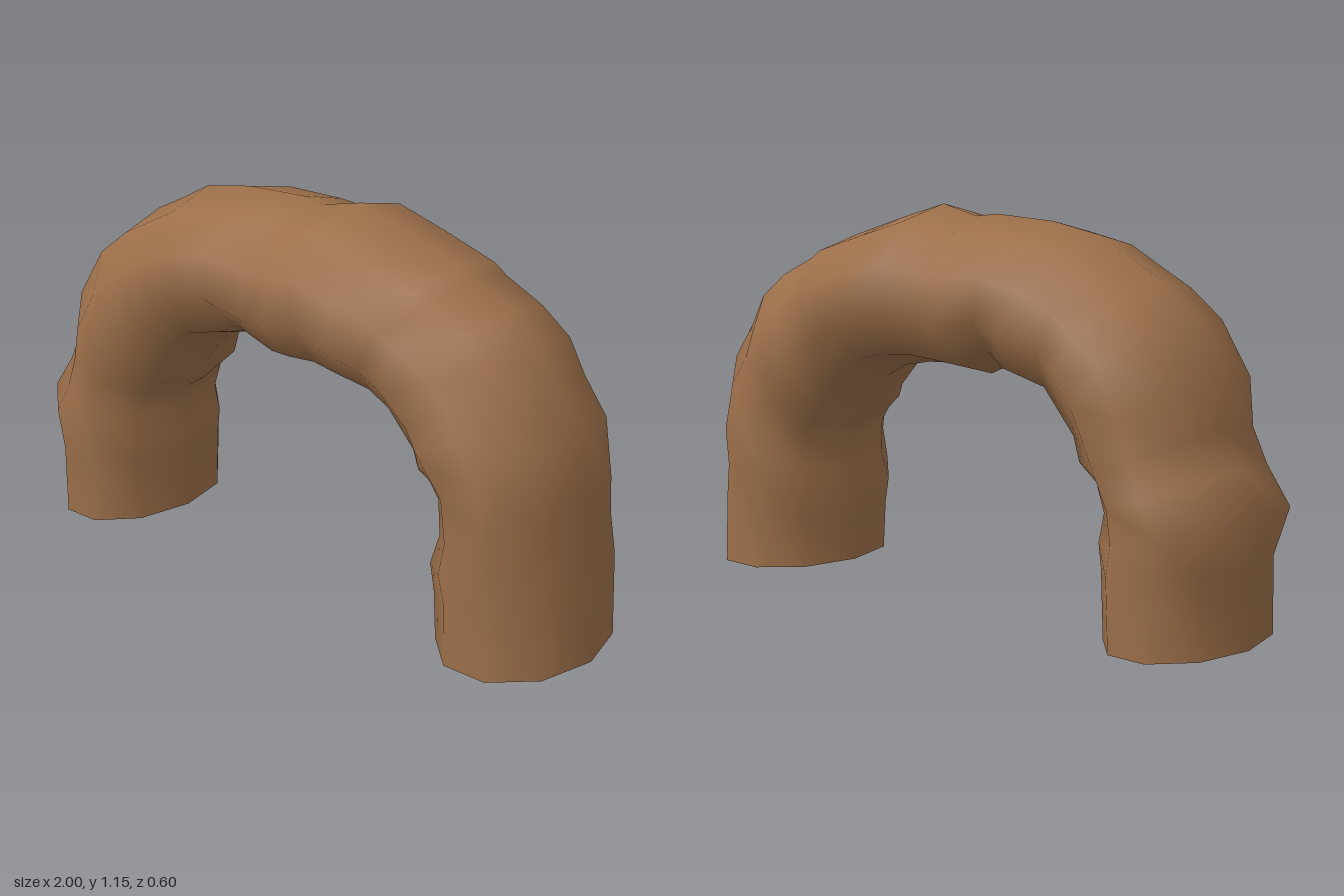
import * as THREE from 'three';

// Cross-sections along the arch: outer x, outer y, inner x, inner y, half depth
const RINGS = [
  [-0.95, 0, -0.55, 0, 0.283], [-0.95, 0.23, -0.545, 0.2, 0.287],
  [-1.0, 0.38, -0.53, 0.26, 0.29], [-0.91, 0.49, -0.55, 0.34, 0.287],
  [-0.86, 0.59, -0.53, 0.42, 0.28], [-0.85, 0.74, -0.47, 0.46, 0.288],
  [-0.75, 0.9, -0.455, 0.52, 0.285], [-0.64, 0.98, -0.4, 0.59, 0.278],
  [-0.54, 1.03, -0.35, 0.64, 0.272], [-0.43, 1.09, -0.21, 0.68, 0.288],
  [-0.26, 1.12, -0.15, 0.715, 0.275], [-0.05, 1.13, -0.03, 0.66, 0.275],
  [0.03, 1.12, 0.05, 0.67, 0.275], [0.16, 1.15, 0.14, 0.675, 0.28],
  [0.33, 1.1, 0.22, 0.67, 0.297], [0.52, 1.04, 0.32, 0.65, 0.28],
  [0.56, 1.015, 0.395, 0.61, 0.272], [0.69, 0.96, 0.48, 0.51, 0.272],
  [0.79, 0.885, 0.5, 0.465, 0.285], [0.845, 0.78, 0.525, 0.44, 0.285],
  [0.925, 0.67, 0.55, 0.4, 0.283], [0.96, 0.5, 0.555, 0.3, 0.287],
  [0.96, 0.37, 0.535, 0.22, 0.29], [0.985, 0.26, 0.55, 0.14, 0.287],
  [1.0, 0, 0.55, 0, 0.283],
];
const SIDES = 10;

function seeded(seed) {
  return () => {
    seed = (seed * 16807) % 2147483647;
    return seed / 2147483647 - 0.5;
  };
}

// Hollow, slightly lumpy tube joining the cross-sections
function archGeometry() {
  const rand = seeded(71);
  const pos = [], index = [];
  RINGS.forEach(([ox, oy, ix, iy, depth], i) => {
    const isEnd = i === 0 || i === RINGS.length - 1;
    for (let j = 0; j < SIDES; j++) {
      const a = (j / SIDES) * Math.PI * 2;
      const lump = isEnd || j % (SIDES / 2) === 0 ? 0 : 0.02;
      const k = 0.5 + 0.5 * Math.cos(a) * (1 + lump * rand());
      pos.push(
        ix + (ox - ix) * k,
        iy + (oy - iy) * k,
        (depth / 0.951) * Math.sin(a) + lump * rand(),
      );
      if (isEnd && i > 0) continue;
      const n = (j + 1) % SIDES;
      const p = i * SIDES + j, q = i * SIDES + n;
      index.push(p, q, p + SIDES, q, q + SIDES, p + SIDES);
    }
  });
  const geo = new THREE.BufferGeometry();
  geo.setAttribute('position', new THREE.Float32BufferAttribute(pos, 3));
  geo.setIndex(index);
  geo.computeVertexNormals();
  return geo;
}

export function createModel() {
  const group = new THREE.Group();
  group.name = 'arch';
  const brown = new THREE.MeshStandardMaterial({ color: 0x9c6f4a, side: THREE.DoubleSide });
  brown.name = 'earthBrown';
  const tube = new THREE.Mesh(archGeometry(), brown);
  tube.name = 'archTube';
  group.add(tube);
  return group;
}
